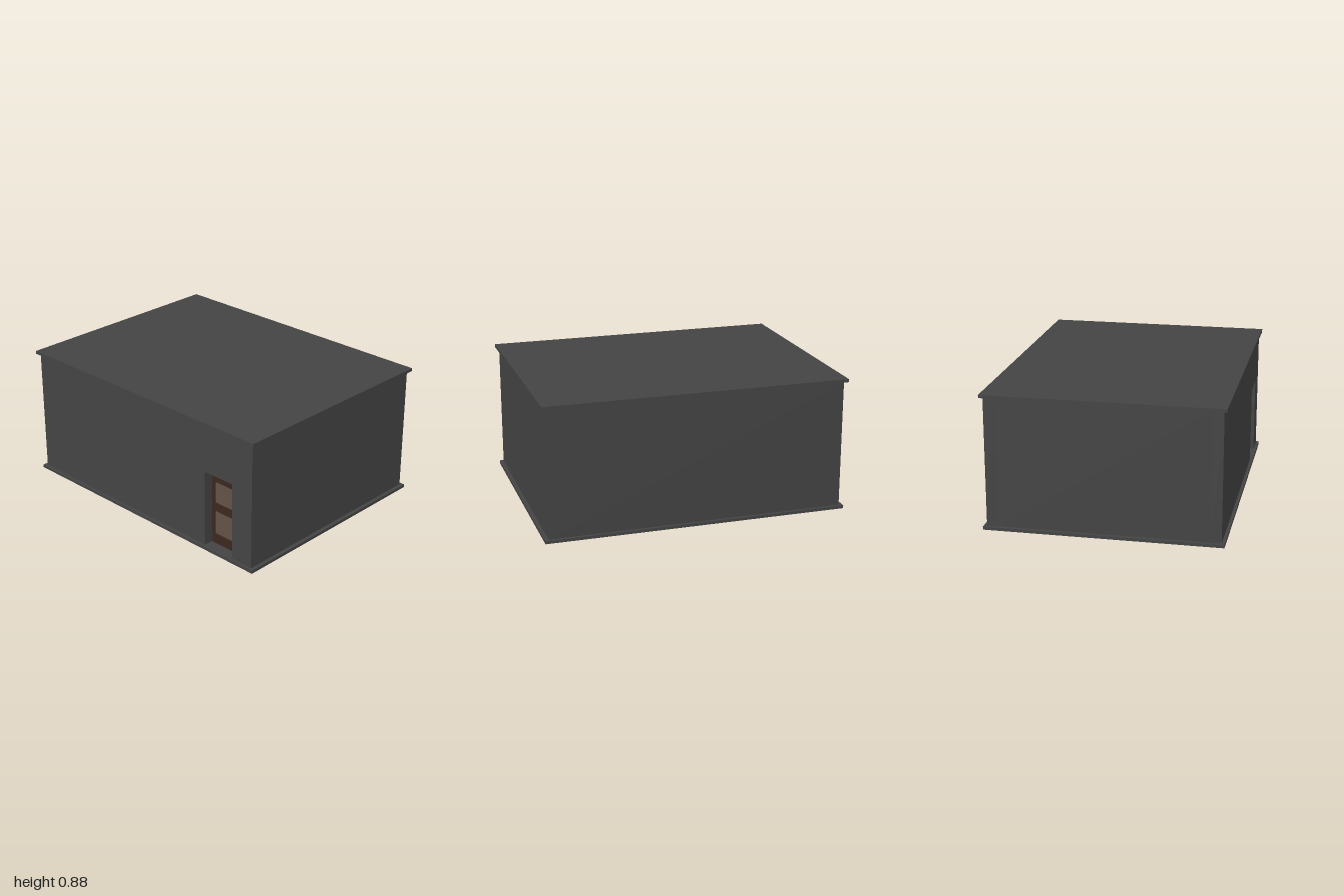
import * as THREE from 'three';

export function createModel() {
  const group = new THREE.Group();
  const concrete = new THREE.MeshStandardMaterial({ name: 'charcoal', color: 0x444444 });
  const wood = new THREE.MeshStandardMaterial({ name: 'darkWood', color: 0x3c281e });
  const panel = new THREE.MeshStandardMaterial({ name: 'paleWood', color: 0x635347 });

  const add = (name, geometry, material, x, y, z) => {
    const mesh = new THREE.Mesh(geometry, material);
    mesh.name = name;
    mesh.position.set(x, y, z);
    group.add(mesh);
  };
  const box = (name, w, h, d, material, x, y, z) =>
    add(name, new THREE.BoxGeometry(w, h, d), material, x, y, z);
  const rect = (path, x0, y0, x1, y1) =>
    path.moveTo(x0, y0).lineTo(x1, y0).lineTo(x1, y1).lineTo(x0, y1).closePath();

  const X = 0.975, Z = 0.745, T = 0.07, LOW = 0.02, HIGH = 0.865;
  const midY = (LOW + HIGH) / 2, wallH = HIGH - LOW;

  // Overhanging floor and roof slabs
  box('floorSlab', 2, 0.02, 1.53, concrete, 0, 0.01, 0);
  box('roofSlab', 2, 0.02, 1.53, concrete, 0, 0.875, 0);

  // Back and side walls of the hollow room
  box('backWall', X * 2, wallH, T, concrete, 0, midY, -Z + T / 2);
  for (const s of [-1, 1]) {
    box(s > 0 ? 'leftWall' : 'rightWall', T, wallH, (Z - T) * 2, concrete, s * (X - T / 2), midY, 0);
  }

  // Front wall, its outline notched for the doorway
  const wall = new THREE.Shape();
  [[-X, LOW], [0.578, LOW], [0.578, 0.54], [0.812, 0.54], [0.812, LOW], [X, LOW], [X, HIGH], [-X, HIGH]]
    .forEach(([x, y], i) => (i ? wall.lineTo(x, y) : wall.moveTo(x, y)));
  wall.closePath();
  add('frontWall', new THREE.ExtrudeGeometry(wall, { depth: T, bevelEnabled: false }), concrete, 0, 0, Z - T);

  // Door leaf with two openings, set at the back of the doorway
  const leaf = new THREE.Shape();
  rect(leaf, 0.582, LOW, 0.787, 0.54);
  for (const [y0, y1] of [[0.087, 0.252], [0.308, 0.457]]) {
    const hole = new THREE.Path();
    rect(hole, 0.602, y0, 0.768, y1);
    leaf.holes.push(hole);
  }
  add('doorLeaf', new THREE.ExtrudeGeometry(leaf, { depth: 0.008, bevelEnabled: false }), wood, 0, 0, 0.674);

  // Pale board behind the leaf, seen through its openings and beside it
  box('doorBoard', 0.25, 0.45, 0.008, panel, 0.71, 0.245, 0.669);

  return group;
}
